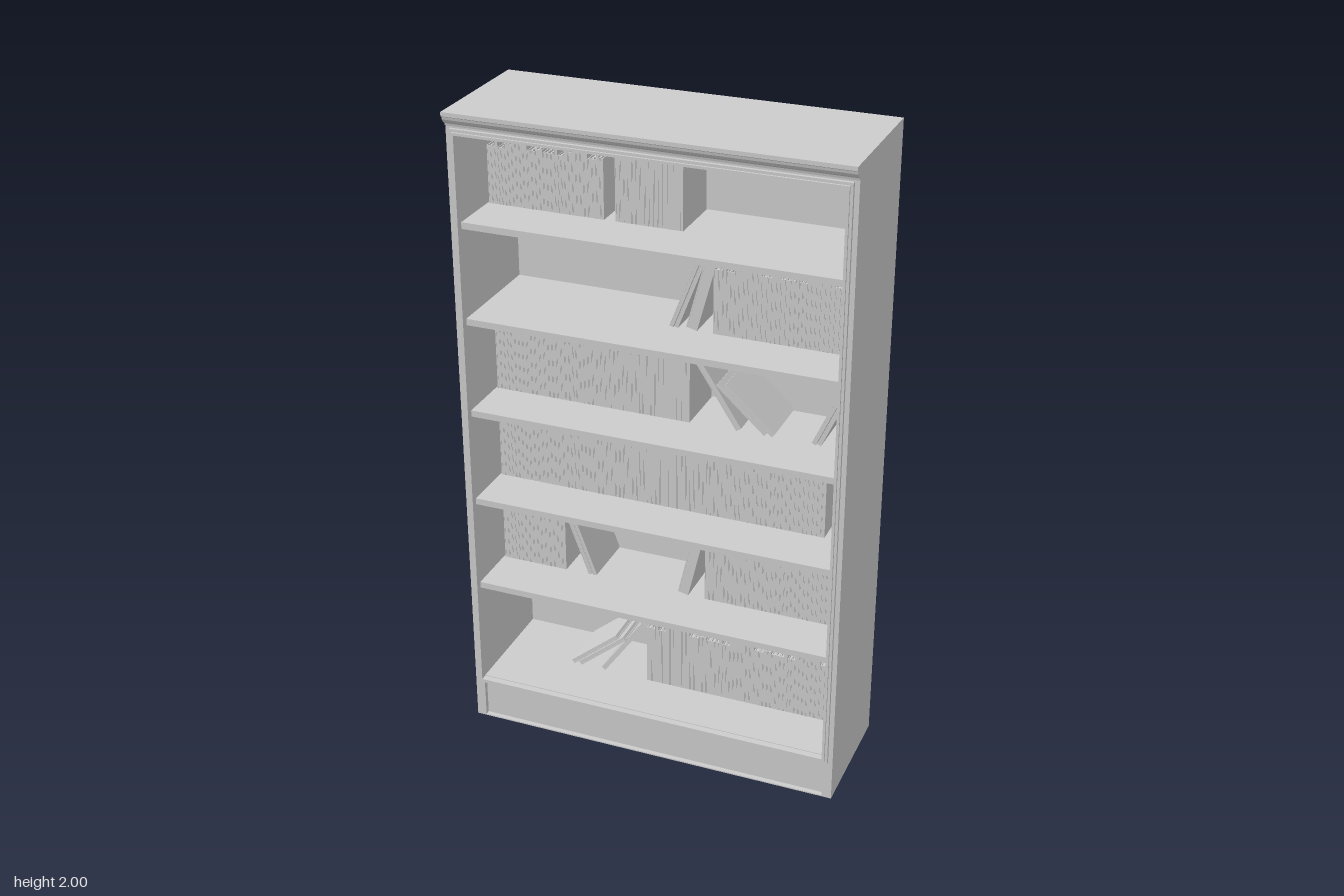
import * as THREE from 'three';
import { mergeGeometries } from 'three/addons/utils/BufferGeometryUtils.js';

const material = new THREE.MeshStandardMaterial({ color: 0xcccccc, flatShading: true });

// box given by its min and max on each axis
function slab(x0, x1, y0, y1, z0, z1) {
  return new THREE.BoxGeometry(x1 - x0, y1 - y0, z1 - z0)
    .translate((x0 + x1) / 2, (y0 + y1) / 2, (z0 + z1) / 2);
}

function addMesh(parent, name, geometry) {
  const mesh = new THREE.Mesh(geometry, material);
  mesh.name = name;
  parent.add(mesh);
  return mesh;
}

const W = 0.59, IN = 0.56, BACK = -0.21, INNER_BACK = -0.17, FACE = 0.185;
const BOOK_BACK = -0.165, BOOK_FRONT = 0.015;

// book standing on y = 0: two boards, a spine and an inset page block
function bookGeometry(t, h) {
  const c = Math.min(0.003, t * 0.22), r = t / 2;
  return mergeGeometries([
    slab(-r, -r + c, 0, h, BOOK_BACK, BOOK_FRONT),
    slab(r - c, r, 0, h, BOOK_BACK, BOOK_FRONT),
    slab(-r + c, r - c, 0, h, BOOK_FRONT - 0.004, BOOK_FRONT - 0.001),
    slab(-r + c, r - c, 0.003, h - 0.005, BOOK_BACK + 0.005, BOOK_FRONT - 0.004),
  ]);
}

// repeating run of [thickness, height]
const PATTERN = [
  [0.014, 0.197], [0.013, 0.197], [0.012, 0.218], [0.011, 0.195], [0.012, 0.195],
  [0.013, 0.21], [0.013, 0.21], [0.013, 0.223], [0.014, 0.223], [0.013, 0.24],
  [0.014, 0.24], [0.015, 0.197], [0.014, 0.197], [0.013, 0.205], [0.013, 0.205], [0.014, 0.197],
];

function bookRun(x0, x1, y, scale = 1) {
  const parts = [];
  for (let i = 0, x = x0; x < x1 - 0.006; i++) {
    const [pt, ph] = PATTERN[i % PATTERN.length];
    const t = Math.min(pt * scale, x1 - x);
    parts.push(bookGeometry(t - 0.0006, ph * scale).translate(x + t / 2, y, 0));
    x += t;
  }
  return mergeGeometries(parts);
}

// tilted book resting on its lower corner; positive degrees lean toward +x
function leaningBook(x, y, degrees, h, t) {
  const a = THREE.MathUtils.degToRad(degrees);
  return bookGeometry(t, h).rotateZ(-a).translate(x, y + Math.sin(Math.abs(a)) * t / 2, 0);
}

// each shelf: top height, runs [x0, x1, scale], leaning [x, degrees, height, thickness]
const SHELVES = [
  { y: 0.15, runs: [[-0.075, 0.553]],
    lean: [[-0.33, 50, 0.2, 0.014], [-0.305, 50, 0.2, 0.014], [-0.225, 35, 0.245, 0.015]] },
  { y: 0.495, runs: [[-0.555, -0.342], [0.115, 0.535]],
    lean: [[-0.262, -20.5, 0.215, 0.013], [-0.247, -20.5, 0.215, 0.013], [0.045, 13, 0.222, 0.034]] },
  { y: 0.79, runs: [[-0.555, 0.485]], lean: [] },
  { y: 1.086, runs: [[-0.555, 0.07]],
    lean: [[0.215, -33, 0.245, 0.018], [0.297, -48, 0.2, 0.014], [0.32, -48, 0.2, 0.014],
      [0.441, 24, 0.22, 0.013], [0.457, 24, 0.22, 0.013]] },
  { y: 1.38, runs: [[0.133, 0.55]],
    lean: [[0.006, 21, 0.245, 0.012], [0.021, 21, 0.245, 0.012], [0.068, 15, 0.222, 0.034]] },
  { y: 1.675, runs: [[-0.555, -0.195, 0.88], [-0.162, 0.042]], lean: [] },
];

export function createModel() {
  const model = new THREE.Group();
  model.name = 'bookcase';

  // carcass
  for (const s of [-1, 1]) {
    const side = slab(-0.015, 0.015, 0, 2, BACK, FACE).translate(s * (W - 0.015), 0, 0);
    addMesh(model, s > 0 ? 'leftSide' : 'rightSide', side);
  }
  addMesh(model, 'backPanel', slab(-IN, IN, 0, 2, BACK, INNER_BACK));
  addMesh(model, 'topPanel', slab(-IN, IN, 1.934, 2, INNER_BACK, FACE));
  addMesh(model, 'bottomPanel', slab(-IN, IN, 0, 0.004, INNER_BACK, FACE));
  addMesh(model, 'toeKick', slab(-IN - 0.005, IN + 0.005, 0.004, 0.13, 0.15, 0.17));

  // cornice profile (z, y) swept across the full width
  const profile = [[0.18, 2], [0.21, 2], [0.21, 1.988], [0.205, 1.985], [0.203, 1.977],
    [0.197, 1.968], [0.19, 1.963], [0.188, 1.956], [0.18, 1.956]];
  const cornice = new THREE.ExtrudeGeometry(
    new THREE.Shape(profile.map(([z, y]) => new THREE.Vector2(-z, y))),
    { depth: 2 * W, bevelEnabled: false });
  addMesh(model, 'cornice', cornice.rotateY(Math.PI / 2).translate(-W, 0, 0));

  // stepped moulding around the opening
  for (const [name, out, inn, z] of [['outerMoulding', 0.016, 0.008, 0.195], ['innerMoulding', 0.008, 0, 0.201]]) {
    const rect = (Type, m) => new Type([[-IN - m, 0.148 - m], [IN + m, 0.148 - m],
      [IN + m, 1.934 + m], [-IN - m, 1.934 + m]].map(([x, y]) => new THREE.Vector2(x, y)));
    const frame = rect(THREE.Shape, out);
    frame.holes.push(rect(THREE.Path, inn));
    addMesh(model, name, new THREE.ExtrudeGeometry(frame, { depth: z - 0.18, bevelEnabled: false })
      .translate(0, 0, 0.18));
  }

  // shelves with their books
  SHELVES.forEach(({ y, runs, lean }, i) => {
    const level = new THREE.Group();
    level.name = `shelfLevel${i + 1}`;
    addMesh(level, 'shelf', slab(-IN, IN, y - 0.02, y, INNER_BACK, 0.18));
    for (const [x0, x1, scale] of runs) addMesh(level, 'bookRow', bookRun(x0, x1, y, scale));
    for (const [x, deg, h, t] of lean) addMesh(level, 'leaningBook', leaningBook(x, y, deg, h, t));
    model.add(level);
  });
  return model;
}
